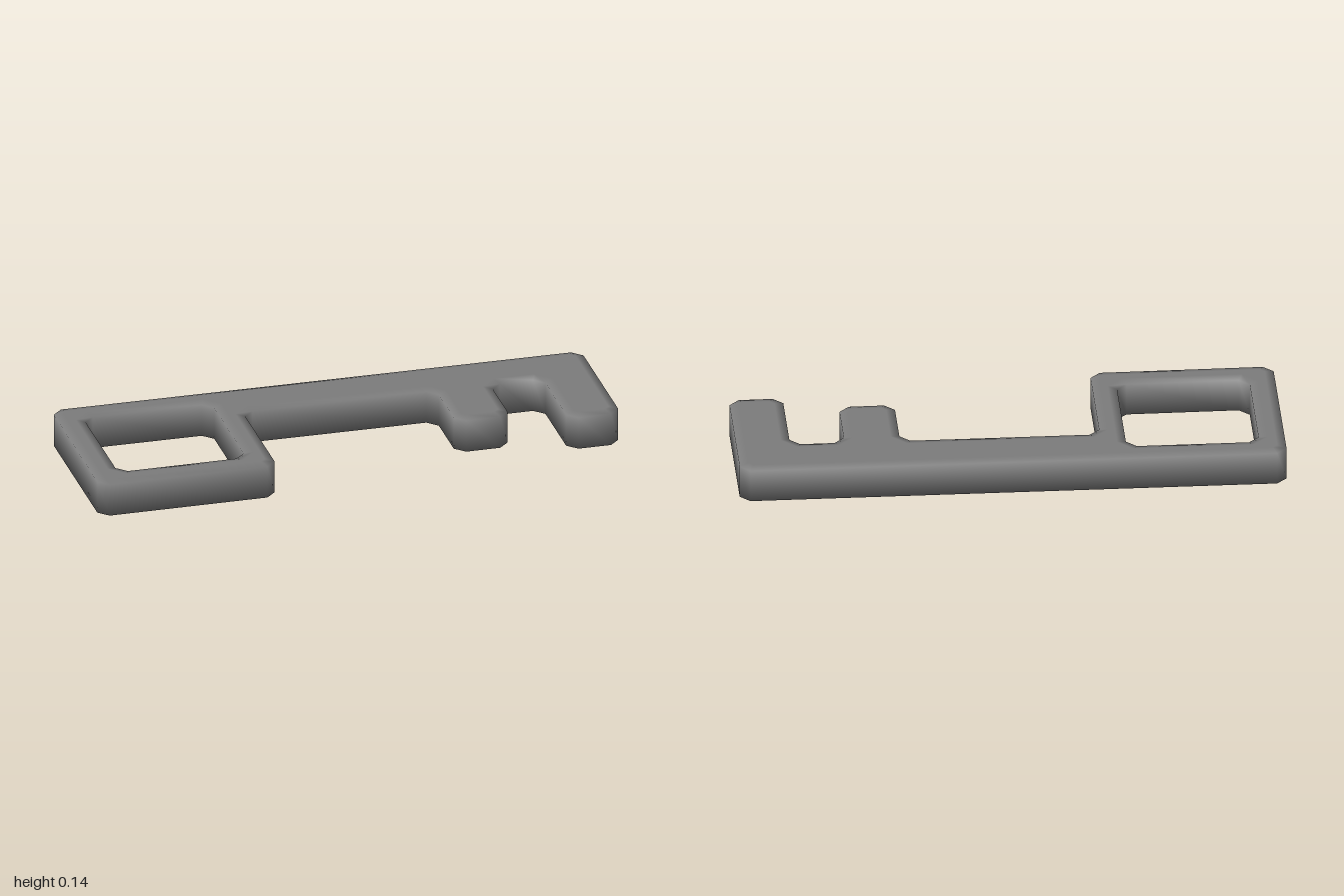
import * as THREE from 'three';
import { mergeVertices } from 'three/addons/utils/BufferGeometryUtils.js';

const CHAMFER = 0.037, BEVEL = 0.033, LIP = 0.008, HEIGHT = 0.14;

// Cuts every corner of a polygon of [x, z] points
function cutCorners(corners) {
  const pts = corners.map(([x, z]) => new THREE.Vector2(x, z));
  const toward = (a, b) => a.clone().add(b.clone().sub(a).setLength(CHAMFER));
  return pts.flatMap((p, i) => {
    const prev = pts[(i + pts.length - 1) % pts.length];
    const next = pts[(i + 1) % pts.length];
    return [toward(p, prev), toward(p, next)];
  });
}

// Points the cap normals straight up or down and tilts the rim normals halfway
function softenRims(geometry) {
  const { position, normal } = geometry.attributes;
  const n = new THREE.Vector3();
  for (let i = 0; i < position.count; i++) {
    const y = position.getY(i) - HEIGHT / 2;
    const onCap = Math.abs(y) > HEIGHT / 2 - LIP / 2;
    n.fromBufferAttribute(normal, i).setY(0).normalize();
    n.multiplyScalar(onCap ? 0 : 1).setY(Math.sign(y)).normalize();
    normal.setXYZ(i, n.x, n.y, n.z);
  }
}

export function createModel() {
  const group = new THREE.Group();
  group.name = 'key';

  // Outline: back edge, end tooth, notch, short tooth, shaft, bow
  const outline = new THREE.Shape(cutCorners([
    [-1, -0.338], [0.999, -0.325], [0.999, 0.229], [0.802, 0.229],
    [0.802, -0.131], [0.603, -0.131], [0.603, 0.146], [0.4, 0.146],
    [0.4, -0.135], [-0.33, -0.14], [-0.33, 0.338], [-1, 0.338],
  ]));
  // Square opening in the bow
  outline.holes.push(new THREE.Path(cutCorners([
    [-0.905, -0.244], [-0.905, 0.241], [-0.42, 0.241], [-0.42, -0.241],
  ])));

  let geometry = new THREE.ExtrudeGeometry(outline, {
    depth: HEIGHT - 2 * LIP,
    bevelEnabled: true,
    bevelThickness: LIP,
    bevelSize: BEVEL,
    bevelOffset: -BEVEL,
    bevelSegments: 1,
  });
  geometry.rotateX(Math.PI / 2);
  geometry.translate(0, HEIGHT - LIP, 0);

  // Weld the corners so the shading runs smoothly over the edges
  geometry.deleteAttribute('uv');
  geometry.deleteAttribute('normal');
  geometry = mergeVertices(geometry, 1e-4);
  geometry.computeVertexNormals();
  softenRims(geometry);

  const body = new THREE.Mesh(geometry, new THREE.MeshStandardMaterial({ color: 0x7c7c7c }));
  body.name = 'keyBody';
  group.add(body);
  return group;
}
